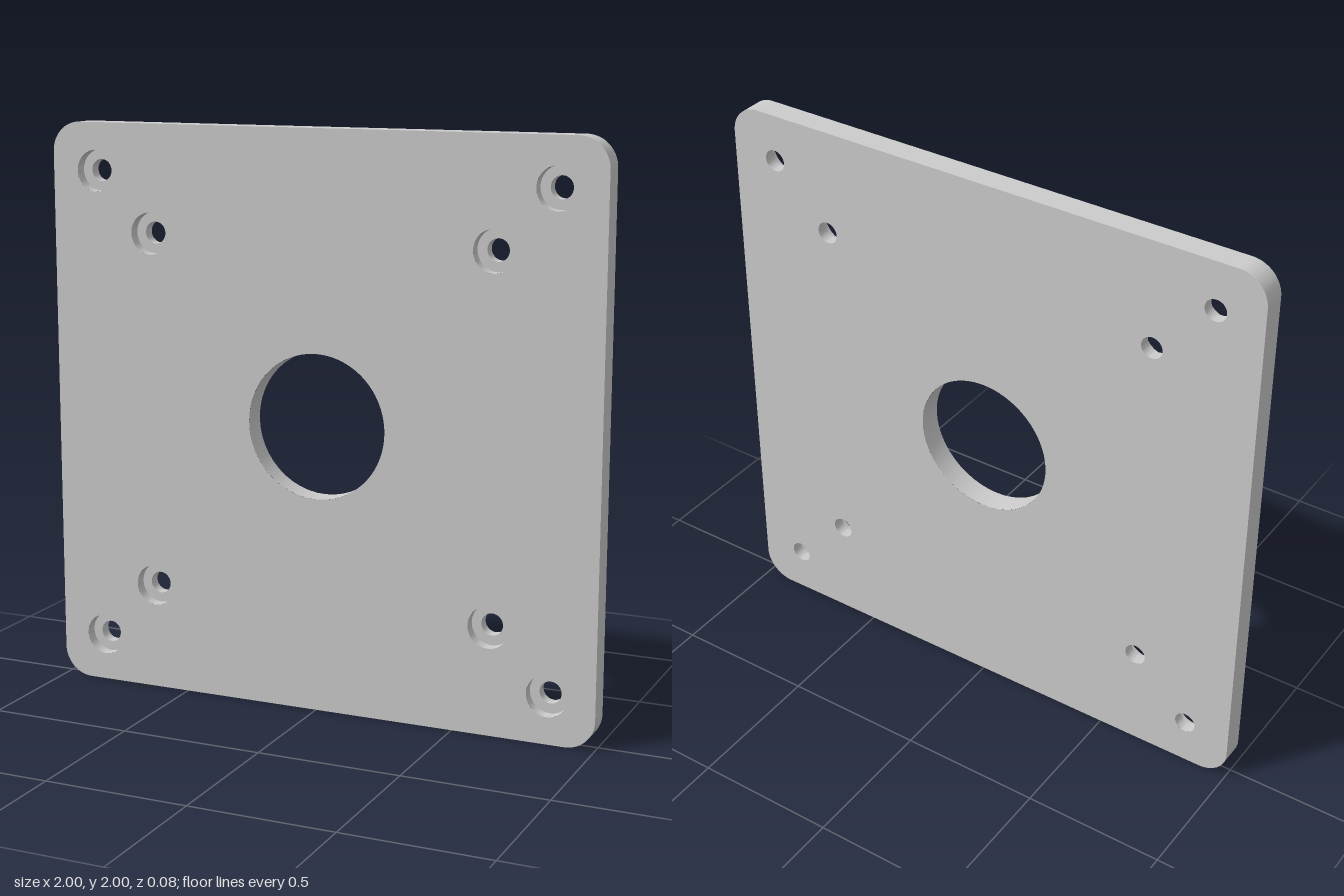
import * as THREE from 'three';
import { toCreasedNormals } from 'three/addons/utils/BufferGeometryUtils.js';

const HALF = 1, CORNER = 0.104, T = 0.0417; // half size, corner radius, half thickness
const CENTRE_R = 0.25, BORE_R = 0.072, HOLE_R = 0.038, LEDGE_Z = 0;
const SEG = 48;

// Screw positions: two square patterns mirrored to all four corners
const screws = [];
for (const d of [0.833, 0.625])
  for (const sx of [-1, 1]) for (const sy of [-1, 1]) screws.push([sx * d, sy * d]);

// Rounded square outline with the centre hole and screw holes cut out
function plateShape(screwR) {
  const shape = new THREE.Shape();
  const c = HALF - CORNER;
  [[c, c], [-c, c], [-c, -c], [c, -c]].forEach(([x, y], i) =>
    shape.absarc(x, y, CORNER, i * Math.PI / 2, (i + 1) * Math.PI / 2, false));
  shape.closePath();
  const cut = (x, y, r) => shape.holes.push(new THREE.Path().absarc(x, y, r, 0, Math.PI * 2, true));
  cut(0, 0, CENTRE_R);
  screws.forEach(([x, y]) => cut(x, y, screwR));
  return shape;
}

// Wall following the outline, made by wrapping a strip around it
function rimGeometry() {
  const pts = plateShape(HOLE_R).getPoints(SEG / 4)
    .filter((p, i, a) => i === 0 || p.distanceTo(a[i - 1]) > 1e-5);
  if (pts[0].distanceTo(pts[pts.length - 1]) > 1e-5) pts.push(pts[0].clone());
  const n = pts.length;
  const geo = new THREE.PlaneGeometry(1, 1, n - 1, 1);
  const pos = geo.attributes.position;
  for (let i = 0; i < pos.count; i++) {
    const p = pts[i % n];
    pos.setXYZ(i, p.x, p.y, i < n ? T : -T);
  }
  return toCreasedNormals(geo, 0.5);
}

// Inward-facing turned hole; profile is [radius, z] from front to back
function boreGeometry(profile) {
  const geo = new THREE.LatheGeometry(profile.map(([r, z]) => new THREE.Vector2(r, z)), SEG);
  return toCreasedNormals(geo.rotateX(Math.PI / 2), 0.5);
}

export function createModel() {
  const model = new THREE.Group();
  model.name = 'mountingPlate';
  const plate = new THREE.Group();
  plate.name = 'plate';
  plate.position.y = HALF;
  model.add(plate);

  const material = new THREE.MeshStandardMaterial({ color: 0xcccccc });
  const add = (name, geo, x = 0, y = 0, z = 0) => {
    const mesh = new THREE.Mesh(geo, material);
    mesh.name = name;
    mesh.position.set(x, y, z);
    plate.add(mesh);
    return mesh;
  };

  // Flat faces: wide counterbore openings in front, narrow holes behind
  add('frontFace', new THREE.ShapeGeometry(plateShape(BORE_R), SEG), 0, 0, T);
  add('backFace', new THREE.ShapeGeometry(plateShape(HOLE_R), SEG).rotateY(Math.PI), 0, 0, -T);
  add('rim', rimGeometry());

  // Centre hole
  add('centreHole', boreGeometry([[CENTRE_R, T], [CENTRE_R, -T]]));

  // Counterbored screw holes
  const screwHole = boreGeometry([[BORE_R, T], [BORE_R, LEDGE_Z], [HOLE_R, LEDGE_Z], [HOLE_R, -T]]);
  screws.forEach(([x, y], i) => add(`screwHole${i + 1}`, screwHole, x, y));

  return model;
}
